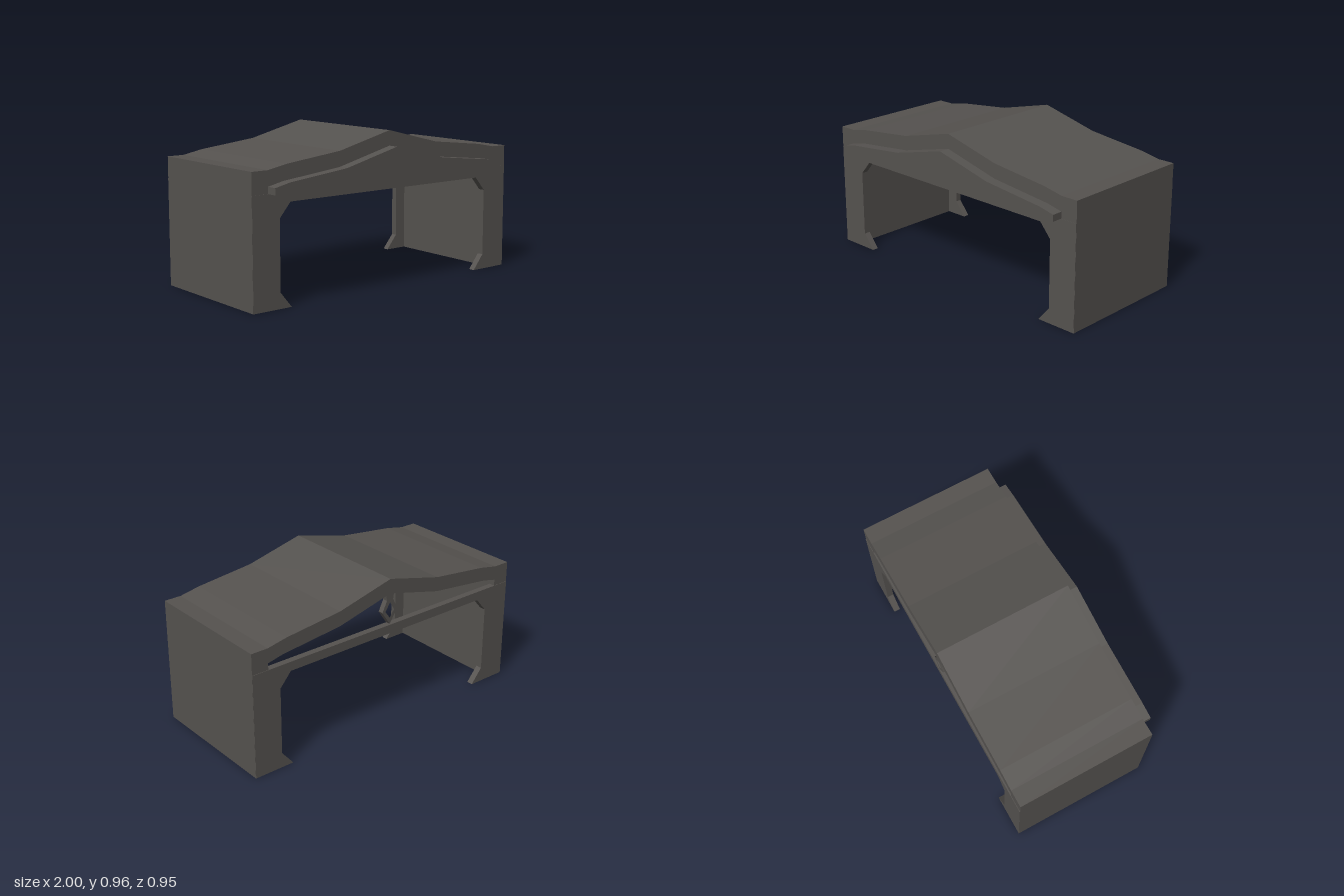
import * as THREE from 'three';

const material = new THREE.MeshStandardMaterial({ color: 0x55524f, flatShading: true });

// Right half of an outline (x >= 0), mirrored into a full closed loop
function mirrored(half) {
  const left = half.filter(([x]) => x > 0).map(([x, y]) => [-x, y]).reverse();
  return [...half, ...left].map(([x, y]) => new THREE.Vector2(x, y));
}

// Flat outline extruded along z between two planes
function slab(name, outline, z0, z1, hole) {
  const shape = new THREE.Shape(outline);
  if (hole) shape.holes.push(new THREE.Path(hole));
  const geometry = new THREE.ExtrudeGeometry(shape, { depth: z1 - z0, bevelEnabled: false });
  geometry.translate(0, 0, z0);
  const mesh = new THREE.Mesh(geometry, material);
  mesh.name = name;
  return mesh;
}

export function createModel() {
  const group = new THREE.Group();
  group.name = 'gatehouse';

  const roofLine = [[0, 0.96], [0.38, 0.865], [0.76, 0.822], [0.89, 0.797], [1, 0.797]];
  const ceilingLine = [[0, 0.867], [0.38, 0.772], [0.79, 0.727], [0.89, 0.705]];

  // Walls and roof in one shell, open below and at both ends
  const shellHalf = [...roofLine, [1, 0], [0.89, 0], ...ceilingLine.slice().reverse()];
  // The two peaks on the axis make this loop close as an arch
  const right = shellHalf.map(([x, y]) => new THREE.Vector2(x, y));
  const left = shellHalf.slice(1, -1).map(([x, y]) => new THREE.Vector2(-x, y)).reverse();
  group.add(slab('wallsAndRoof', [...right, ...left], -0.475, 0.407));

  // Portal frames: legs with angled feet joined by a crossbar
  const frame = mirrored([
    [0, 0.664], [0.999, 0.664], [0.999, 0], [0.735, 0], [0.813, 0.095],
    [0.813, 0.52], [0.738, 0.607],
  ]);
  group.add(slab('frontFrame', frame, 0.368, 0.409));
  group.add(slab('backFrame', frame, -0.478, -0.437));

  // Gable block filling the front opening and standing proud of it
  const gable = mirrored([...ceilingLine, [0.89, 0.664]]);
  group.add(slab('frontGable', gable, 0.368, 0.475));

  // Open diamond hanging from the ridge of the back gable
  const diamond = mirrored([[0, 0.87], [0.03, 0.865], [0.024, 0.825], [0.058, 0.755], [0, 0.668]]);
  const eye = mirrored([[0, 0.81], [0.034, 0.755], [0, 0.71]]);
  group.add(slab('hangingDiamond', diamond, -0.474, -0.44, eye));

  return group;
}
